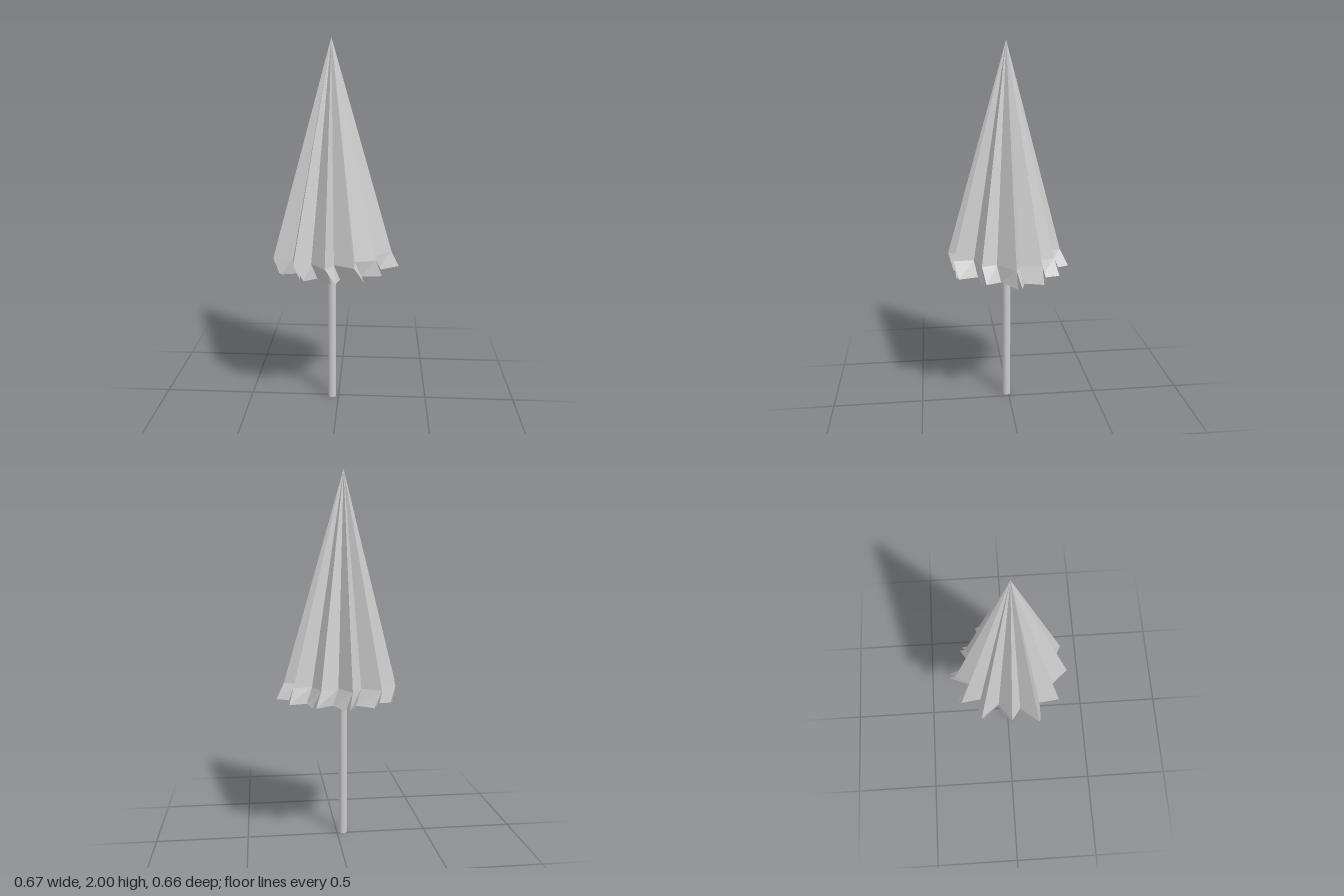
import * as THREE from 'three';

const APEX = [-0.035, 2, 0.01];
const RIM_Y = 0.875, HEM_Y = 0.79;
const LEAN = [0.03, -0.018]; // sideways drift of the hem at the valleys
const SLIT = 0.011;          // half width of the slit below each ridge

// One row per fold: ridge x, z; following valley x, z; hem tip x, z
const FOLDS = [
  [-0.32, 0.007, -0.224, -0.062, -0.285, -0.005],
  [-0.292, -0.157, -0.188, -0.159, -0.27, -0.165],
  [-0.201, -0.264, -0.103, -0.202, -0.169, -0.284],
  [-0.046, -0.291, 0.015, -0.189, -0.015, -0.332],
  [0.108, -0.232, 0.147, -0.13, 0.146, -0.259],
  [0.246, -0.146, 0.219, -0.034, 0.274, -0.161],
  [0.29, -0.006, 0.185, 0.084, 0.33, -0.02],
  [0.206, 0.164, 0.096, 0.198, 0.244, 0.154],
  [0.097, 0.305, -0.008, 0.252, 0.142, 0.288],
  [-0.049, 0.33, -0.126, 0.239, -0.008, 0.305],
  [-0.215, 0.271, -0.228, 0.163, -0.172, 0.263],
  [-0.335, 0.154, -0.254, 0.055, -0.299, 0.159],
];

function sheet(name, triangles) {
  const geometry = new THREE.BufferGeometry();
  geometry.setAttribute('position', new THREE.Float32BufferAttribute(triangles.flat(2), 3));
  geometry.computeVertexNormals();
  const mesh = new THREE.Mesh(geometry, new THREE.MeshStandardMaterial({
    color: 0xcccccc, flatShading: true, side: THREE.DoubleSide,
  }));
  mesh.name = name;
  return mesh;
}

// Hem tip moved to one side of its slit, around the pole
function slitTip(x, z, side) {
  const dx = x - APEX[0], dz = z - APEX[2], r = Math.hypot(dx, dz);
  return [x - side * SLIT * dz / r, HEM_Y, z + side * SLIT * dx / r];
}

export function createModel() {
  const group = new THREE.Group();
  group.name = 'foldedParasol';

  const canopy = [], skirt = [];
  FOLDS.forEach(([rx, rz, vx, vz, tx, tz], i) => {
    const next = FOLDS[(i + 1) % FOLDS.length];
    const ridge = [rx, RIM_Y, rz];
    const valley = [vx, RIM_Y, vz];
    const nextRidge = [next[0], RIM_Y, next[1]];
    const hemValley = [vx + LEAN[0], HEM_Y, vz + LEAN[1]];
    const tip = slitTip(tx, tz, 1);
    const nextTip = slitTip(next[4], next[5], -1);

    // Long pleats from the apex to the rim
    canopy.push([APEX, valley, ridge], [APEX, nextRidge, valley]);
    // Short flaps below the rim, split under every ridge
    skirt.push([ridge, valley, hemValley], [ridge, hemValley, tip]);
    skirt.push([valley, nextRidge, nextTip], [valley, nextTip, hemValley]);
  });
  group.add(sheet('canopy', canopy), sheet('canopySkirt', skirt));

  // Pole, hidden inside the canopy at its upper end
  const length = 1.88;
  const pole = new THREE.Mesh(
    new THREE.CylinderGeometry(0.022, 0.022, length, 12),
    new THREE.MeshStandardMaterial({ color: 0xcccccc }),
  );
  pole.name = 'pole';
  pole.position.set(APEX[0], length / 2, APEX[2]);
  group.add(pole);

  return group;
}
